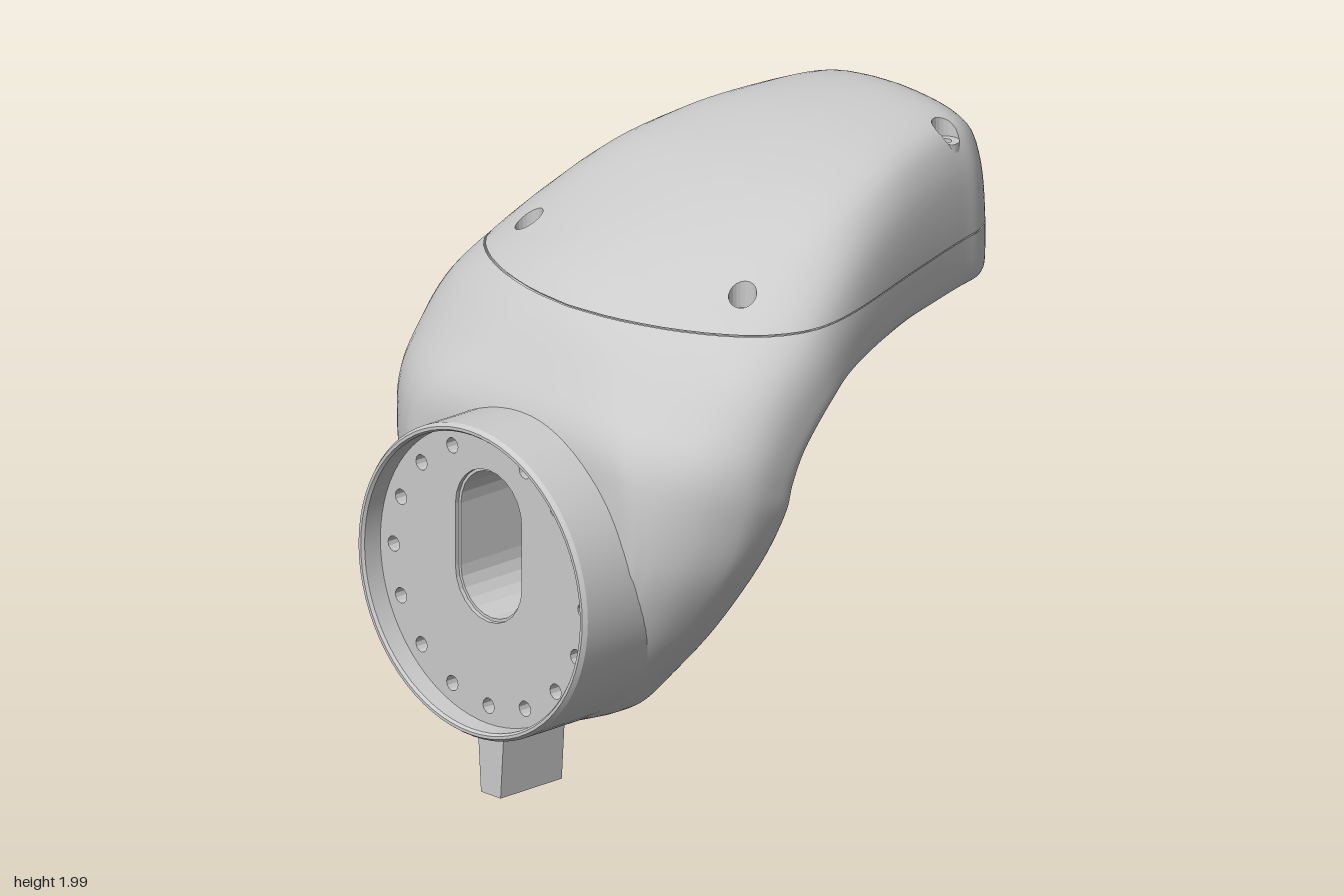
import * as THREE from 'three';
import { toCreasedNormals } from 'three/addons/utils/BufferGeometryUtils.js';

// Stations along the arm: inner z, inner y, outer z, outer y, half width, section (1 front, 0 dome, -1 back), hollow depth
const STATIONS = [
  [.56, .215, .8, .215, .05, 1, 0], [.552, .24, .8, .24, .17, 1, 0], [.53, .3, .8, .3, .31, 1, .02],
  [.495, .42, .8, .42, .425, 1, .13], [.44, .6, .8, .6, .57, 1, .26], [.375, .83, .8, .83, .71, 1, .39],
  [.325, 1, .8, 1.08, .775, .85, .45], [.305, 1.1, .785, 1.24, .79, .6, .46], [.26, 1.19, .71, 1.38, .79, .3, .42],
  [.19, 1.26, .565, 1.575, .78, 0, .35], [.1, 1.32, .36, 1.705, .755, 0, .22], [0, 1.355, .12, 1.81, .71, -.4, .1],
  [-.15, 1.375, -.13, 1.895, .645, -.8, .04], [-.4, 1.395, -.4, 1.955, .55, -1, 0], [-.6, 1.395, -.6, 1.98, .48, -1, 0],
  [-.77, 1.395, -.77, 1.985, .425, -1, 0], [-.87, 1.395, -.87, 1.965, .395, -1, 0], [-.95, 1.395, -.95, 1.91, .335, -1, 0],
  [-.985, 1.395, -.985, 1.85, .265, -1, 0], [-1, 1.4, -1, 1.77, .19, -1, 0],
];
// Half sections (across, depth, share of the hollow) from the inner face to the outer crown
const INNER = [[0, 0, 1], [.25, 0, 1], [.5, 0, .95], [.72, 0, .65], [.88, 0, .15], [.96, .02, 0], [.99, .07, 0], [1, .16, 0], [1, .35, 0]];
const FRONT = [...INNER, [.97, .5], [.91, .68], [.83, .83], [.74, .94], [.62, 1], [0, 1]];
const DOME = [...INNER, [.96, .53], [.86, .68], [.69, .8], [.47, .9], [.24, .97], [0, 1]];
const BACK = [...INNER, [.975, .58], [.92, .75], [.81, .89], [.6, .958], [.3, .99], [0, 1]];
const CENTRE_Y = .74, DISC_Z = .92, SEAM_Y = 1.57, GAP = .002;

const material = () => new THREE.MeshStandardMaterial({ color: 0xcccccc, side: THREE.DoubleSide });
const curve = pts => new THREE.CatmullRomCurve3(pts.map(p => new THREE.Vector3(p[0], p[1], p[2] || 0)), false, 'catmullrom');
const mix = (a, b, t) => a.map((v, i) => v + (b[i] - v) * t);

function named(geometry, name) {
  const mesh = new THREE.Mesh(geometry, material());
  mesh.name = name;
  return mesh;
}

// Geometry -> list of triangles whose vertices are [x, y, z, nx, ny, nz]
function toTris(geometry) {
  const g = geometry.toNonIndexed();
  const p = g.attributes.position, n = g.attributes.normal, tris = [];
  const vert = i => [p.getX(i), p.getY(i), p.getZ(i), n.getX(i), n.getY(i), n.getZ(i)];
  for (let i = 0; i < p.count; i += 3) tris.push([vert(i), vert(i + 1), vert(i + 2)]);
  return tris;
}
function fromTris(tris) {
  const pos = [], nor = [];
  tris.flat().forEach(v => { pos.push(v[0], v[1], v[2]); nor.push(v[3], v[4], v[5]); });
  const g = new THREE.BufferGeometry();
  g.setAttribute('position', new THREE.Float32BufferAttribute(pos, 3));
  g.setAttribute('normal', new THREE.Float32BufferAttribute(nor, 3));
  return g;
}
function fan(poly, out) {
  for (let i = 1; i + 1 < poly.length; i++) out.push([poly[0], poly[i], poly[i + 1]]);
}

// Split a convex polygon by a signed distance: [positive part, negative part]
function split(poly, dist) {
  const pos = [], neg = [];
  poly.forEach((a, i) => {
    const b = poly[(i + 1) % poly.length], da = dist(a), db = dist(b);
    if (da > -1e-9) pos.push(a);
    if (da < 1e-9) neg.push(a);
    if ((da > 1e-9 && db < -1e-9) || (da < -1e-9 && db > 1e-9)) {
      const m = mix(a, b, da / (da - db));
      pos.push(m);
      neg.push(m);
    }
  });
  return [pos, neg];
}

// Sink a convex outline into the faces looking along sign * axis, with walls and floor to a level
function cut(tris, outline, axis, sign, level = null, floor = true) {
  const P = (axis + 1) % 3, Q = (axis + 2) % 3, result = [];
  const area = outline.reduce((s, a, i) => { const b = outline[(i + 1) % outline.length]; return s + a[0] * b[1] - a[1] * b[0]; }, 0);
  const loop = area > 0 ? outline : [...outline].reverse();
  const planes = loop.map((a, i) => {
    const b = loop[(i + 1) % loop.length], l = Math.hypot(b[0] - a[0], b[1] - a[1]);
    const np = -(b[1] - a[1]) / l, nq = (b[0] - a[0]) / l, normal = [0, 0, 0];
    normal[P] = np; normal[Q] = nq;
    return { normal, d: v => np * (v[P] - a[0]) + nq * (v[Q] - a[1]) };
  });
  const sunk = (v, n) => { const w = [v[0], v[1], v[2], ...n]; w[axis] = level; return w; };
  const up = [0, 0, 0]; up[axis] = sign;
  for (const tri of tris) {
    const facing = sign * (tri[0][3 + axis] + tri[1][3 + axis] + tri[2][3 + axis]) / 3;
    if (facing < .15 || planes.some(k => tri.every(v => k.d(v) < 1e-9))) { result.push(tri); continue; }
    let poly = tri;
    for (const k of planes) {
      const [inside, outside] = split(poly, k.d);
      fan(outside, result);
      poly = inside;
      if (poly.length < 3) break;
    }
    if (poly.length < 3 || level === null) continue;
    if (floor) fan(poly.map(v => sunk(v, up)), result);
    poly.forEach((a, i) => {
      const b = poly[(i + 1) % poly.length], k = planes.find(q => Math.abs(q.d(a)) < 1e-6 && Math.abs(q.d(b)) < 1e-6);
      if (k) fan([[...a.slice(0, 3), ...k.normal], [...b.slice(0, 3), ...k.normal], sunk(b, k.normal), sunk(a, k.normal)], result);
    });
  }
  return result;
}
const circle = (a, b, r, n = 16) => Array.from({ length: n }, (_, i) => [a + r * Math.cos(i / n * 2 * Math.PI), b + r * Math.sin(i / n * 2 * Math.PI)]);
const rect = (a0, a1, b0, b1) => [[a0, b0], [a1, b0], [a1, b1], [a0, b1]];
// Point on the flange face, angle in degrees from straight down
const polar = (r, deg) => [r * Math.sin(deg * Math.PI / 180), CENTRE_Y - r * Math.cos(deg * Math.PI / 180)];

// Lofted arm, swept from the flange up and over to the back end
function loft() {
  const inner = curve(STATIONS.map(s => [s[0], s[1], s[4]])), outer = curve(STATIONS.map(s => [s[2], s[3], s[5]]));
  const hollow = curve(STATIONS.map(s => [s[6], 0])), front = curve(FRONT), dome = curve(DOME), back = curve(BACK);
  const rows = 95, half = 36, cols = half * 2, pos = [], idx = [];
  for (let i = 0; i <= rows; i++) {
    const a = inner.getPoint(i / rows), b = outer.getPoint(i / rows), h = hollow.getPoint(i / rows).x;
    for (let j = 0; j < cols; j++) {
      const t = (j <= half ? j : cols - j) / half;
      const s = dome.getPoint(t).lerp((b.z > 0 ? front : back).getPoint(t), Math.min(Math.abs(b.z), 1));
      const v = s.y + h * s.z;
      pos.push((j <= half ? 1 : -1) * s.x * a.z, a.y + (b.y - a.y) * v, a.x + (b.x - a.x) * v);
      const k = i * cols + j, r = i * cols + (j + 1) % cols;
      if (i < rows) idx.push(k, k + cols, r, r, k + cols, r + cols);
    }
  }
  const g = new THREE.BufferGeometry();
  g.setAttribute('position', new THREE.Float32BufferAttribute(pos, 3));
  g.setIndex(idx);
  g.computeVertexNormals();
  const tris = toTris(g);
  const ring = (i, n) => Array.from({ length: cols }, (_, j) => [...pos.slice((i * cols + j) * 3, (i * cols + j) * 3 + 3), ...n]);
  fan(ring(0, [0, -1, 0]), tris);
  fan(ring(rows, [0, 0, -1]).reverse(), tris);
  return tris;
}

export function createModel() {
  const group = new THREE.Group();

  // Part the loft at the seam into lower body and cover
  let body = [], cover = [];
  for (const tri of loft()) {
    fan(split(tri, v => v[1] - SEAM_Y - GAP)[0], cover);
    fan(split(tri, v => v[1] - SEAM_Y + GAP)[1], body);
  }
  const edge = cover.flat().filter(v => Math.abs(v[1] - SEAM_Y - GAP) < 1e-6)
    .sort((a, b) => Math.atan2(a[0], a[2] + .2) - Math.atan2(b[0], b[2] + .2));
  const seam = new THREE.ExtrudeGeometry(new THREE.Shape(edge.map(v => new THREE.Vector2(v[0] * .99, -(v[2] + .2) * .99 + .2))), { depth: .012, bevelEnabled: false });
  seam.rotateX(-Math.PI / 2).translate(0, SEAM_Y - .006, 0);
  group.add(named(seam, 'seam'));

  // Bolt circle (no bolt at the top)
  const bolts = [];
  for (let i = -7; i <= 7; i++) bolts.push(circle(...polar(.435, i * 22.5), .026, 12));

  // Body: open behind the flange, pockets and bolt holes in the inner face
  body = cut(body, circle(0, CENTRE_Y, .5, 40), 2, 1);
  for (const s of [-1, 1]) for (const m of [33.75, 101]) {
    const pocket = [polar(.23, m - 13), polar(.4, m - 18), polar(.45, m - 15), polar(.47, m), polar(.45, m + 15), polar(.4, m + 18), polar(.23, m + 13)];
    body = cut(body, pocket.map(p => [s * p[0], p[1]]), 2, -1, .75);
  }
  for (const b of bolts) body = cut(body, b, 2, -1, DISC_Z, false);

  // Cable socket, its groove and the corner hole at the back end
  body = cut(body, circle(-.63, -.02, .13, 24), 1, -1, 1.42);
  body = cut(body, circle(-.63, -.02, .1, 6), 1, -1, 1.54);
  body = cut(body, rect(-.64, -.62, -.7, -.15), 1, -1, 1.48);
  body = cut(body, rect(1.38, 1.5, -.64, -.62), 0, -1, -.4);
  body = cut(body, circle(-.285, 1.465, .055), 2, -1, -.7);
  group.add(named(fromTris(body), 'body'));

  // Cover with four countersunk screw holes
  for (const s of [-1, 1]) for (const [x, z, y] of [[.34, -.77, 1.88], [.49, .27, 1.6]]) {
    cover = cut(cover, circle(z, s * x, .045, 20), 1, 1, y);
    cover = cut(cover, circle(z, s * x, .02, 12), 1, 1, y - .02);
  }
  group.add(named(fromTris(cover), 'cover'));

  // Flange rim, its back end buried in the body
  const rim = [[.523, .6], [.523, .985], [.513, 1], [.503, 1], [.496, .99], [.496, DISC_Z - .01]];
  const rimGeo = new THREE.LatheGeometry(rim.map(p => new THREE.Vector2(...p)), 72).rotateX(Math.PI / 2).translate(0, CENTRE_Y, 0);
  group.add(named(toCreasedNormals(rimGeo, .5), 'flangeRim'));

  // Recessed flange disc with slot and bolt holes
  let disc = toTris(new THREE.CircleGeometry(.5, 64).translate(0, CENTRE_Y, DISC_Z));
  const slot = (r, n = 12) => [.95, .74].flatMap((y, e) => Array.from({ length: n + 1 }, (_, i) => {
    const a = Math.PI * (e + i / n);
    return [r * Math.cos(a), y + r * Math.sin(a)];
  }));
  disc = cut(disc, slot(.152), 2, 1, DISC_Z - .015);
  disc = cut(disc, slot(.142), 2, 1, .6);
  for (const b of bolts) disc = cut(disc, b, 2, 1, DISC_Z - .03, false);
  group.add(named(fromTris(disc), 'flangeDisc'));

  // Tapered foot under the flange
  const foot = new THREE.BoxGeometry(.12, .23, .27).translate(0, .115, .775);
  const fp = foot.attributes.position;
  for (let i = 0; i < fp.count; i++) if (fp.getY(i) < .01) fp.setX(i, fp.getX(i) * .75);
  foot.computeVertexNormals();
  group.add(named(foot, 'foot'));

  return group;
}
